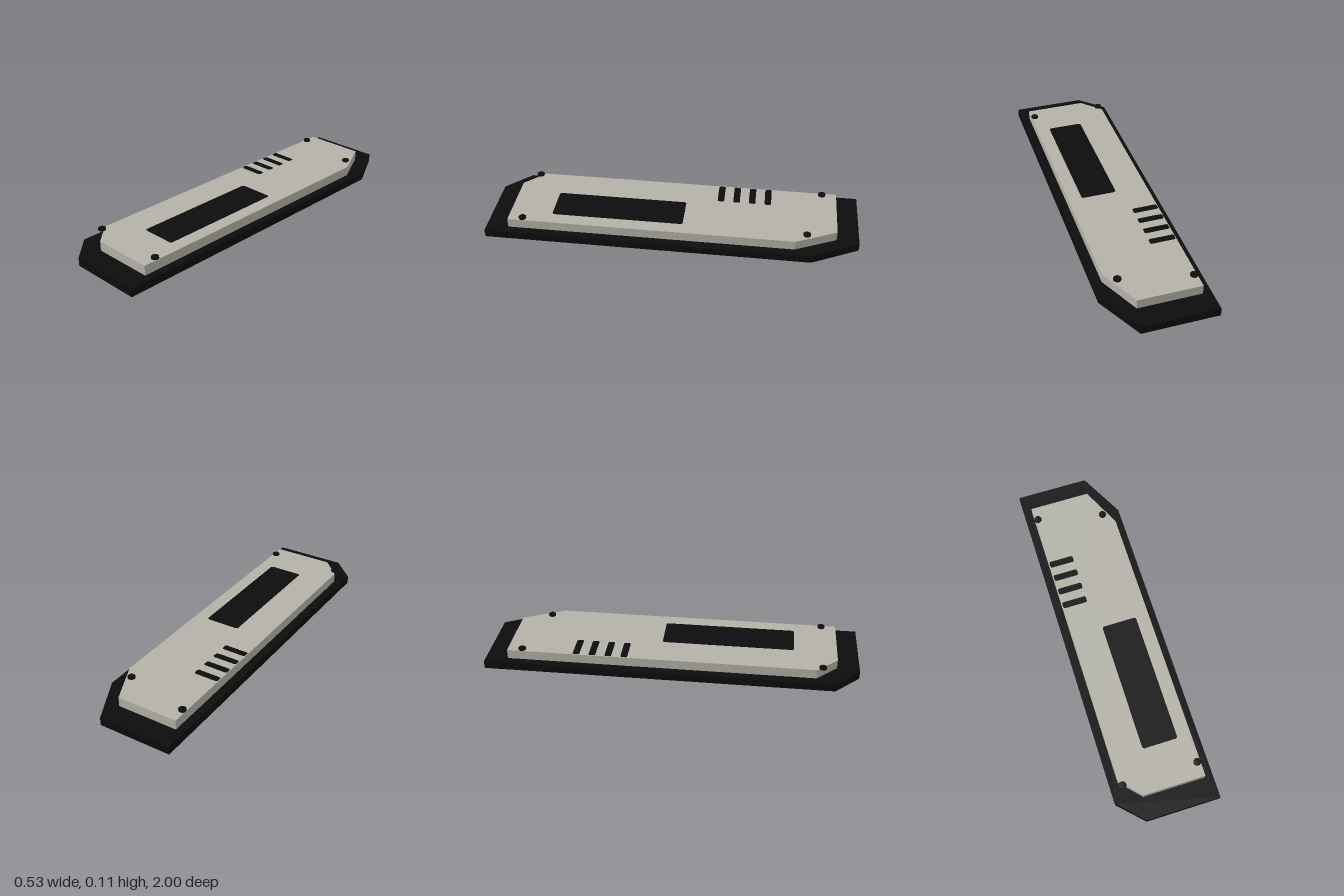
import * as THREE from 'three';

const black = new THREE.MeshStandardMaterial({ color: 0x0c0c0c });
black.name = 'black';
const grey = new THREE.MeshStandardMaterial({ color: 0xb3b1a7 });
grey.name = 'warmGrey';

// Flat slab from an outline of [x, z] corners, standing on y
function slab(name, outline, y, height, material) {
  const shape = new THREE.Shape(outline.map(([x, z]) => new THREE.Vector2(x, -z)));
  const geometry = new THREE.ExtrudeGeometry(shape, { depth: height, bevelEnabled: false });
  geometry.rotateX(-Math.PI / 2);
  const mesh = new THREE.Mesh(geometry, material);
  mesh.name = name;
  mesh.position.y = y;
  return mesh;
}

// Rectangle outline with clipped corners
function clippedRect(x0, x1, z0, z1, c) {
  return [
    [x0 + c, z0], [x1 - c, z0], [x1, z0 + c], [x1, z1 - c],
    [x1 - c, z1], [x0 + c, z1], [x0, z1 - c], [x0, z0 + c],
  ];
}

export function createModel() {
  const model = new THREE.Group();
  model.name = 'panelDevice';
  const topY = 0.095;

  // Dark base with two clipped corners
  model.add(slab('base', [
    [-0.265, -1], [0.135, -1], [0.265, -0.75], [0.265, 1], [-0.135, 1], [-0.265, 0.87],
  ], 0, 0.043, black));

  // Raised cover following the base outline
  model.add(slab('cover', [
    [-0.22, -0.88], [0.115, -0.88], [0.22, -0.66], [0.22, 0.88], [-0.115, 0.88], [-0.22, 0.77],
  ], 0.043, topY - 0.043, grey));

  // Inset screen
  model.add(slab('screen', clippedRect(-0.045, 0.147, 0.65 - 0.71, 0.65, 0.008), topY, 0.0015, black));

  // Row of vent slots by the side edge
  const vents = new THREE.Group();
  vents.name = 'vents';
  for (let i = 0; i < 4; i++) {
    const z = -0.505 + i * 0.086;
    vents.add(slab('ventSlot', clippedRect(-0.216, -0.08, z - 0.018, z + 0.018, 0.006), topY, 0.0015, black));
  }
  model.add(vents);

  // Corner screws with softened rims
  const profile = [[0, 0], [0.018, 0], [0.02, 0.002], [0.02, 0.011], [0.018, 0.013], [0, 0.013]]
    .map(([r, y]) => new THREE.Vector2(r, y));
  const screwGeometry = new THREE.LatheGeometry(profile, 16);
  for (const [x, z] of [[-0.203, -0.8], [0.16, -0.72], [-0.203, 0.8], [0.202, 0.8]]) {
    const screw = new THREE.Mesh(screwGeometry, black);
    screw.name = 'screw';
    screw.position.set(x, topY, z);
    model.add(screw);
  }
  return model;
}
